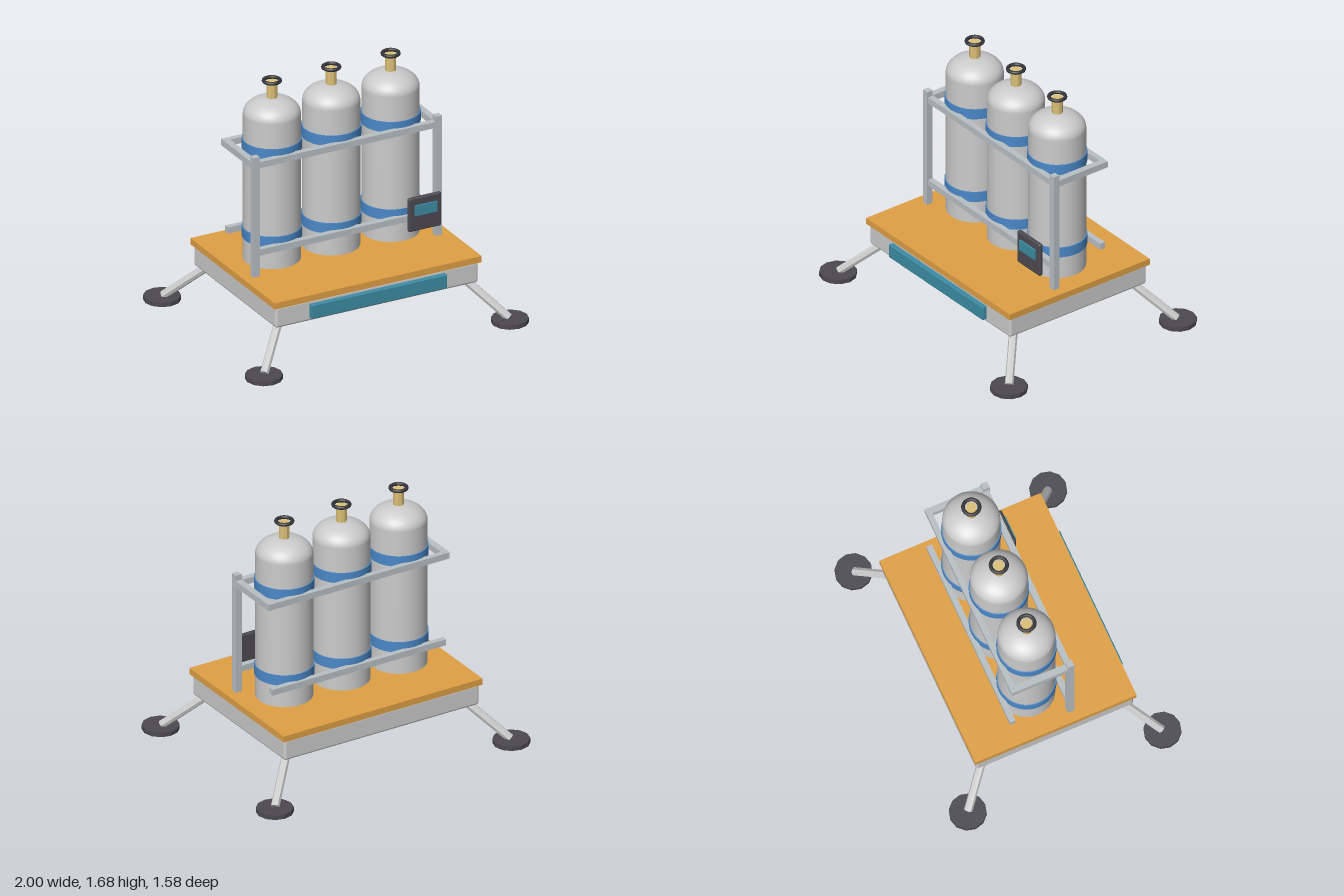
import * as THREE from 'three';
import { RoundedBoxGeometry } from 'three/addons/geometries/RoundedBoxGeometry.js';

const mat = (color, flatShading = false) => new THREE.MeshStandardMaterial({ color, flatShading });

export function createModel() {
  const model = new THREE.Group();
  const grey = mat(0xcccccc);
  const greyFlat = mat(0xcccccc, true);
  const frameGrey = mat(0xb8c0c4);
  const orange = mat(0xe0a045);
  const blue = mat(0x4a88c8);
  const teal = mat(0x3c8ca4);
  const dark = mat(0x4c4a50);
  const darkFlat = mat(0x4c4a50, true);
  const wheelDark = mat(0x36363a);
  const brass = mat(0xdcc078, true);

  const add = (name, geometry, material, x, y, z, parent = model) => {
    const mesh = new THREE.Mesh(geometry, material);
    mesh.name = name;
    mesh.position.set(x, y, z);
    parent.add(mesh);
    return mesh;
  };
  // Box given by its lower and upper corners
  const block = (name, material, [x0, y0, z0], [x1, y1, z1], radius = 0) => {
    const size = [x1 - x0, y1 - y0, z1 - z0];
    const geometry = radius
      ? new RoundedBoxGeometry(...size, 3, radius)
      : new THREE.BoxGeometry(...size);
    return add(name, geometry, material, (x0 + x1) / 2, (y0 + y1) / 2, (z0 + z1) / 2);
  };

  // Base: housing, deck and front panel
  block('baseHousing', grey, [-0.725, 0.255, -0.542], [0.725, 0.4, 0.542], 0.018);
  block('deck', orange, [-0.74, 0.397, -0.555], [0.74, 0.44, 0.555]);
  block('frontPanel', teal, [-0.485, 0.28, 0.52], [0.485, 0.375, 0.573], 0.006);

  // Four splayed legs with round feet
  const up = new THREE.Vector3(0, 1, 0);
  for (const sx of [-1, 1]) {
    for (const sz of [-1, 1]) {
      add('foot', new THREE.CylinderGeometry(0.12, 0.12, 0.03, 12), darkFlat, sx * 0.88, 0.015, sz * 0.67);
      const low = new THREE.Vector3(sx * 0.875, 0.03, sz * 0.665);
      const high = new THREE.Vector3(sx * 0.63, 0.3, sz * 0.435);
      const span = high.clone().sub(low);
      const mid = low.clone().add(high).multiplyScalar(0.5);
      const leg = add('leg', new THREE.CylinderGeometry(0.028, 0.028, span.length(), 8), greyFlat, mid.x, mid.y, mid.z);
      leg.quaternion.setFromUnitVectors(up, span.normalize());
    }
  }

  // Tank outline: straight wall, then an elliptical dome
  const R = 0.183;
  const profile = [new THREE.Vector2(0, 0), new THREE.Vector2(R, 0), new THREE.Vector2(R, 0)];
  for (let i = 0; i <= 12; i++) {
    const a = (i / 12) * Math.PI / 2;
    profile.push(new THREE.Vector2(i === 12 ? 0 : R * Math.cos(a), 1.0 + 0.112 * Math.sin(a)));
  }
  const tankGeometry = new THREE.LatheGeometry(profile, 40);
  const bandGeometry = new THREE.CylinderGeometry(0.19, 0.19, 0.07, 40);
  const neckGeometry = new THREE.CylinderGeometry(0.035, 0.035, 0.125, 10);
  const wheelGeometry = new THREE.TorusGeometry(0.052, 0.012, 10, 28).rotateX(Math.PI / 2);

  // Three tanks with straps, valve neck and handwheel
  for (const x of [-0.425, 0, 0.425]) {
    const tank = new THREE.Group();
    tank.name = 'tank';
    tank.position.set(x, 0, -0.063);
    model.add(tank);
    add('tankBody', tankGeometry, grey, 0, 0.44, 0, tank);
    add('lowerBand', bandGeometry, blue, 0, 0.63, 0, tank);
    add('upperBand', bandGeometry, blue, 0, 1.237, 0, tank);
    add('valveNeck', neckGeometry, brass, 0, 1.597, 0, tank);
    add('handwheel', wheelGeometry, wheelDark, 0, 1.664, 0, tank);
  }

  // Rack: two front posts, long rails front and back, upper side rails
  for (const s of [-1, 1]) {
    const [xa, xb] = s < 0 ? [-0.674, -0.63] : [0.63, 0.674];
    block('rackPost', frameGrey, [xa, 0.44, 0.112], [xb, 1.267, 0.156]);
    block('sideRail', frameGrey, [xa, 1.185, -0.272], [xb, 1.229, 0.13]);
  }
  for (const [y, backEnd] of [[0.579, 0.645], [1.186, 0.672]]) {
    block('frontRail', frameGrey, [-0.65, y, 0.109], [0.65, y + 0.042, 0.149]);
    block('backRail', frameGrey, [-backEnd, y, -0.274], [backEnd, y + 0.042, -0.236]);
  }

  // Control unit
  block('controlBox', dark, [0.395, 0.545, 0.205], [0.63, 0.778, 0.235], 0.013);
  block('controlScreen', teal, [0.434, 0.657, 0.225], [0.592, 0.727, 0.248]);

  return model;
}
